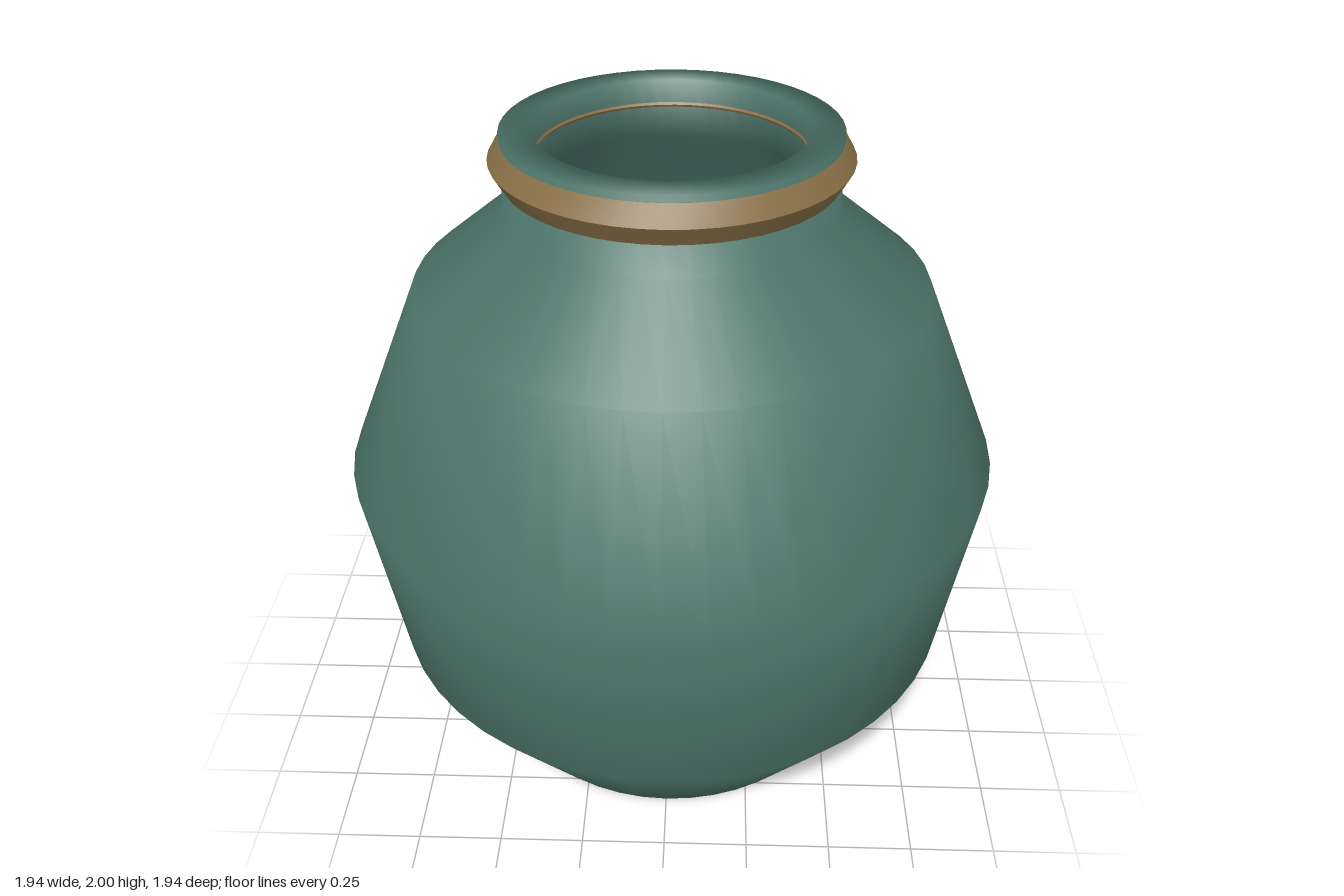
import * as THREE from 'three';
import { toCreasedNormals } from 'three/addons/utils/BufferGeometryUtils.js';

const SEGMENTS = 48;

export function createModel() {
  const group = new THREE.Group();
  group.name = 'jar';

  const glaze = new THREE.MeshStandardMaterial({ name: 'green glaze', color: 0x4f786c });
  const brass = new THREE.MeshStandardMaterial({ name: 'brass', color: 0x8a7148 });

  // Hollow body: base, belly, shoulder and neck, over the lip and down the inside
  const profile = [
    [0, 0], [0.575, 0], [0.875, 0.4], [0.972, 1], [0.745, 1.55], [0.472, 1.775], [0.472, 2],
    [0.38, 2], [0.38, 1.83], [0.68, 1.5], [0.9, 1], [0.81, 0.44], [0.53, 0.06], [0, 0.06],
  ].map(([r, y]) => new THREE.Vector2(r, y));
  const body = new THREE.Mesh(new THREE.LatheGeometry(profile, SEGMENTS), glaze);
  body.name = 'body';
  group.add(body);

  // Six-sided band around the neck, smooth around but creased along its edges
  const bandShape = new THREE.TorusGeometry(0.441, 0.065, 6, SEGMENTS).rotateX(Math.PI / 2);
  const band = new THREE.Mesh(toCreasedNormals(bandShape, 0.6), brass);
  band.name = 'neckBand';
  band.position.y = 1.925;
  group.add(band);

  return group;
}
